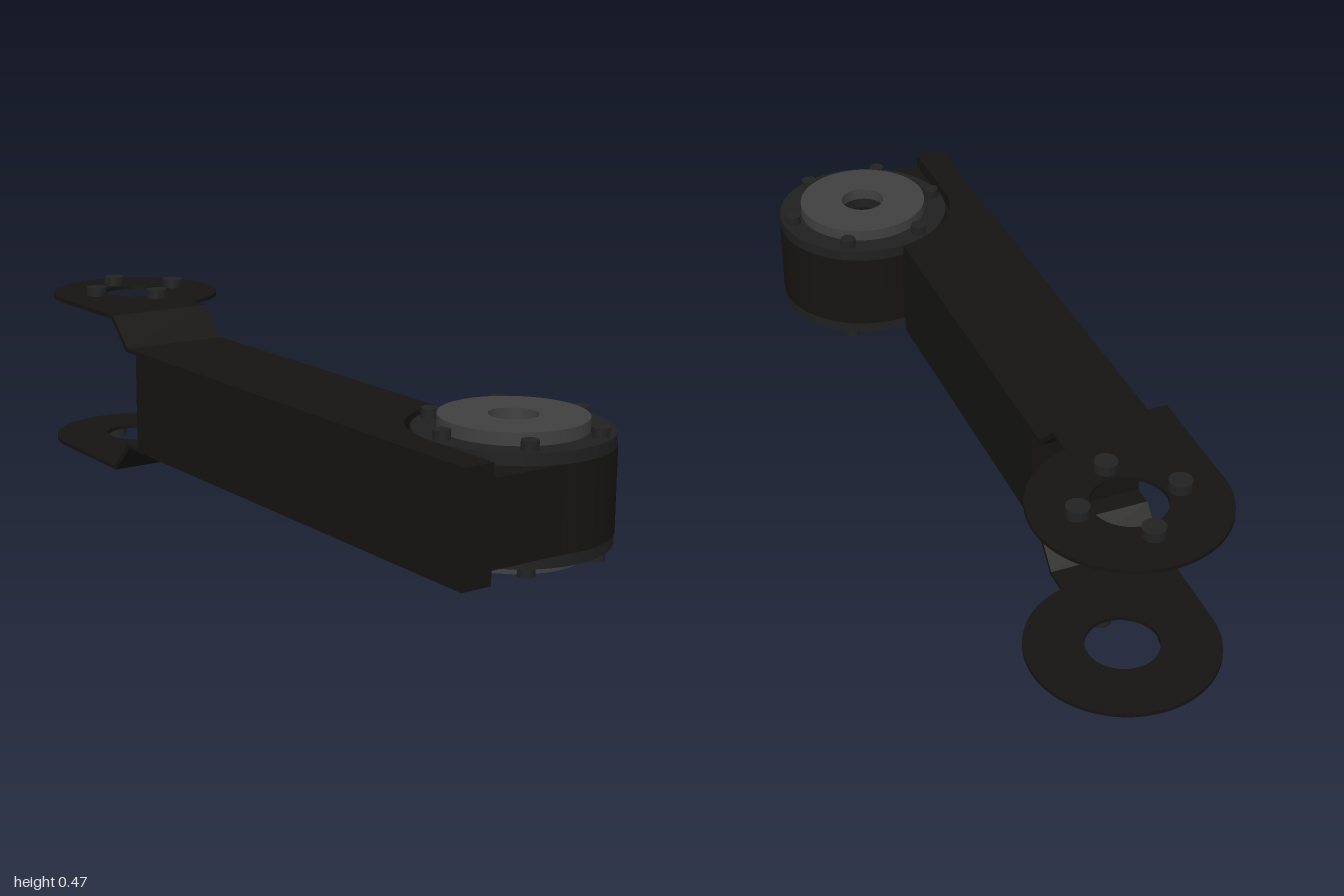
import * as THREE from 'three';
import { toCreasedNormals } from 'three/addons/utils/BufferGeometryUtils.js';

const MID = 0.235;                      // height of the mirror plane
const HUB = { x: 0.094, z: 0.766 };     // pivot at the front of the arm
const EYE = { x: 0.006, z: -0.777 };    // pivot at the back of the fork
const LEFT = -0.225, RIGHT = 0.06, FRONT = 0.991, BACK = -0.365;

const mat = (color) => new THREE.MeshStandardMaterial({ color });
const armMat = mat(0x151412), flangeMat = mat(0x202020), discMat = mat(0x404040), boltMat = mat(0x222222);

export function createModel() {
  const model = new THREE.Group();
  const link = new THREE.Group();
  link.name = 'linkArm';
  link.rotation.y = -0.057;
  model.add(link);

  const add = (name, geometry, material) => {
    const mesh = new THREE.Mesh(toCreasedNormals(geometry, 0.5), material);
    mesh.name = name;
    link.add(mesh);
    return mesh;
  };

  // Horizontal slab: outline drawn in (x, -z), spanning two heights
  const slab = (name, shape, ya, yb, material) => {
    const g = new THREE.ExtrudeGeometry(shape, { depth: Math.abs(yb - ya), bevelEnabled: false, curveSegments: 48 });
    g.rotateX(-Math.PI / 2);
    g.translate(0, Math.min(ya, yb), 0);
    return add(name, g, material);
  };

  const circleHole = (shape, c, r) => {
    shape.holes.push(new THREE.Path().absarc(c.x, -c.z, r, 0, Math.PI * 2, true));
    return shape;
  };
  const washer = (c, r, hole) =>
    circleHole(new THREE.Shape().absarc(c.x, -c.z, r, 0, Math.PI * 2, false), c, hole);

  const bolts = (name, c, count, ring, r, ya, yb) => {
    for (let i = 0; i < count; i++) {
      const a = (i / count) * Math.PI * 2;
      const g = new THREE.CylinderGeometry(r, r, Math.abs(yb - ya), 24);
      g.translate(c.x + ring * Math.cos(a), (ya + yb) / 2, c.z + ring * Math.sin(a));
      add(name, g, boltMat);
    }
  };

  // Core of the beam, hollowed where the hub passes through
  const hubAngle = (r) => Math.acos((RIGHT - HUB.x) / r);
  const core = new THREE.Shape();
  core.moveTo(LEFT, -BACK);
  core.lineTo(LEFT, -FRONT);
  core.lineTo(RIGHT, -FRONT);
  core.absarc(HUB.x, -HUB.z, 0.2, -hubAngle(0.2), hubAngle(0.2), true);
  core.lineTo(RIGHT, -BACK);
  slab('beamCore', core, MID - 0.1, MID + 0.1, armMat);

  // Skin of the beam with a U-shaped pocket open to the front
  const pocket = 0.24;
  const skin = new THREE.Shape();
  skin.moveTo(LEFT, -BACK);
  skin.lineTo(LEFT, -FRONT);
  skin.lineTo(HUB.x - pocket, -FRONT);
  skin.absarc(HUB.x, -HUB.z, pocket, Math.PI, hubAngle(pocket), true);
  skin.lineTo(RIGHT, -BACK);

  // Flat fork plate that ends in a round eye
  const eyeR = 0.228;
  const plate = new THREE.Shape();
  plate.moveTo(LEFT, 0.488);
  plate.lineTo(RIGHT, 0.488);
  plate.absarc(EYE.x, -EYE.z, eyeR, -Math.acos((RIGHT - EYE.x) / eyeR), Math.PI, false);
  circleHole(plate, EYE, 0.087);

  // Hub barrel
  slab('hubBarrel', washer(HUB, 0.23, 0.057), MID - 0.1, MID + 0.1, armMat);

  // Everything that repeats above and below the mirror plane
  for (const side of [1, -1]) {
    const y = (d) => MID + side * d;
    slab('beamSkin', skin, y(0.1), y(0.134), armMat);
    slab('hubFlange', washer(HUB, 0.228, 0.057), y(0.1), y(0.128), flangeMat);
    slab('hubDisc', washer(HUB, 0.17, 0.057), y(0.128), y(0.158), discMat);
    bolts('hubBolt', HUB, 6, 0.2, 0.02, y(0.128), y(0.151));

    // Bent strap joining beam and fork plate
    const strap = [[-BACK, 0.125], [0.417, 0.125], [0.492, 0.2], [0.492, 0.21], [0.486, 0.21], [0.408, 0.134], [-BACK, 0.134]];
    const bend = new THREE.Shape(strap.map(([s, d]) => new THREE.Vector2(s, y(d))));
    const g = new THREE.ExtrudeGeometry(bend, { depth: RIGHT - LEFT, bevelEnabled: false });
    g.rotateY(Math.PI / 2);
    g.translate(LEFT, 0, 0);
    add('forkBend', g, armMat);

    slab('forkPlate', plate, y(0.2), y(0.21), armMat);
    bolts('forkBolt', EYE, 4, 0.122, 0.0275, y(0.21), y(0.234));
  }
  return model;
}
